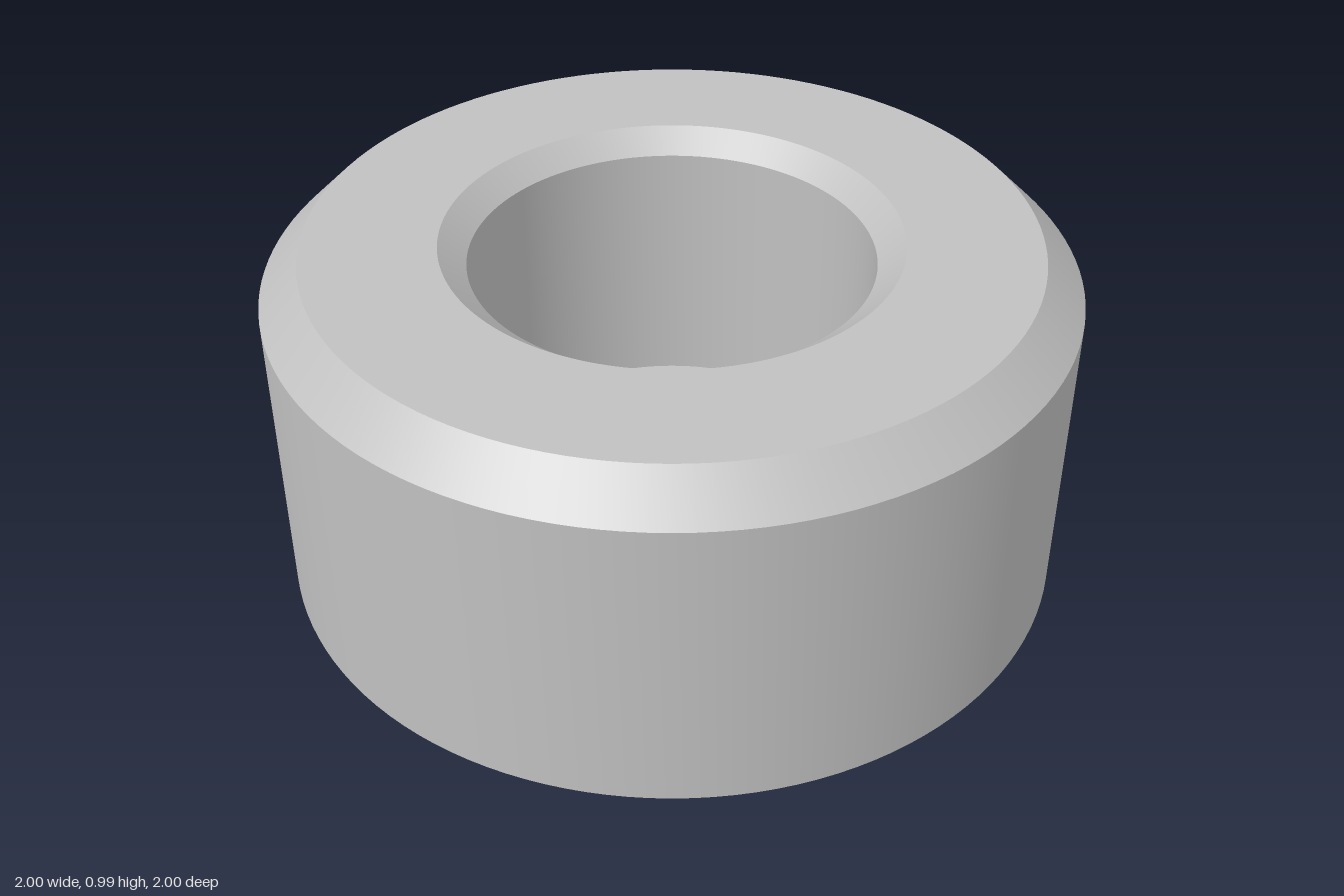
import * as THREE from 'three';
import { toCreasedNormals } from 'three/addons/utils/BufferGeometryUtils.js';

export function createModel() {
  const model = new THREE.Group();
  model.name = 'counterboredBushing';

  const steel = new THREE.MeshStandardMaterial({ color: 0xc0c0c0 });
  steel.name = 'steel grey';

  // Closed cross-section [radius, height], running up the outside and down the bore
  const profile = [
    [0.90, 0], [1, 0.10], [1, 0.885], [0.90, 0.985], // chamfered outer wall
    [0.567, 0.985], [0.50, 0.93], [0.50, 0.25],      // chamfered counterbore
    [0.285, 0.25], [0.285, 0.067], [0.352, 0],       // ledge, through hole, lower chamfer
    [0.90, 0],                                       // underside
  ].map(([r, y]) => new THREE.Vector2(r, y));

  // Smooth around the axis, sharp at every chamfer edge
  const geometry = toCreasedNormals(new THREE.LatheGeometry(profile, 128), Math.PI / 7);
  const body = new THREE.Mesh(geometry, steel);
  body.name = 'bushingBody';
  model.add(body);

  return model;
}
